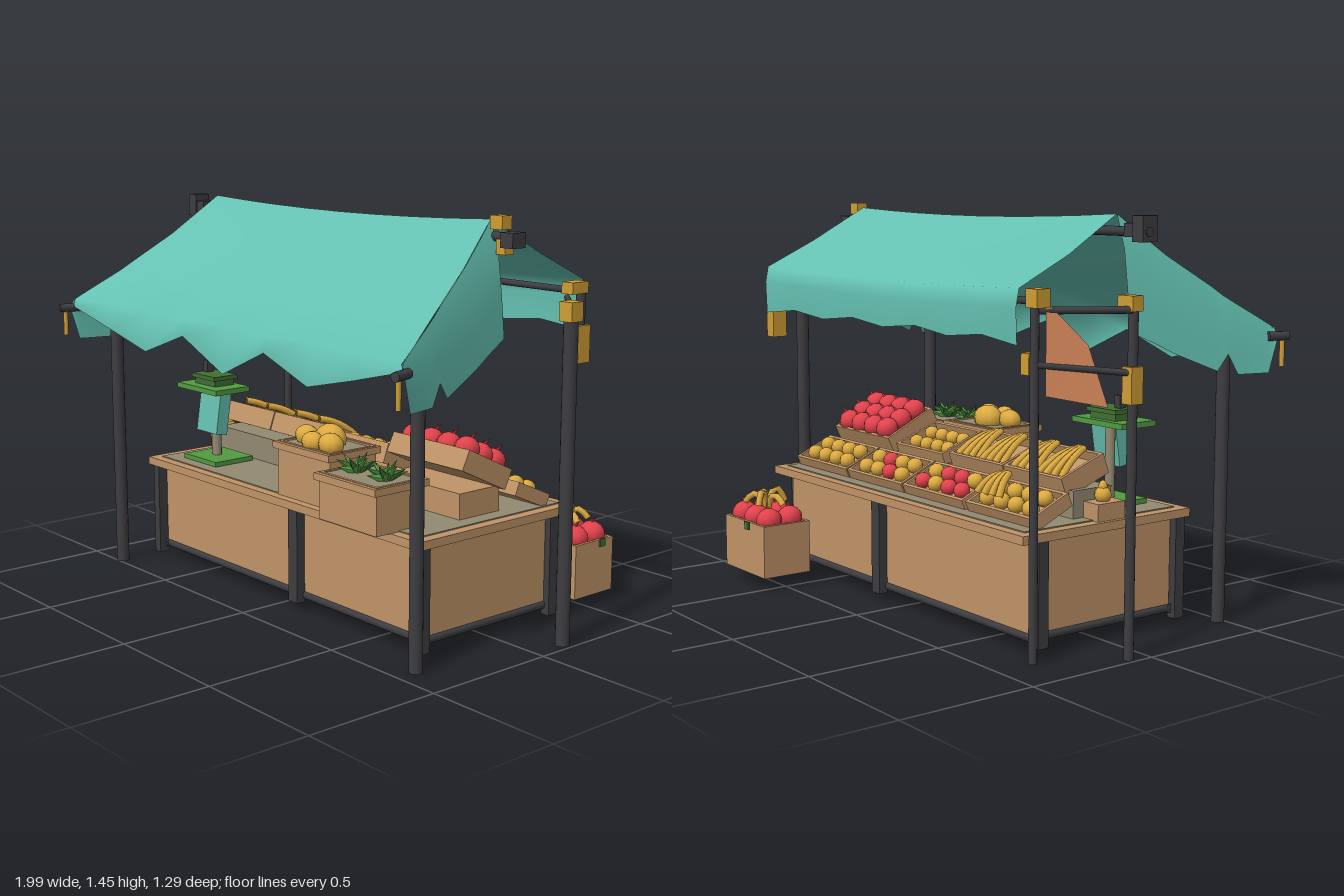
import * as THREE from 'three';

const mat = (name, color, side = THREE.FrontSide) => {
  const m = new THREE.MeshStandardMaterial({ color, side });
  m.name = name;
  return m;
};
const M = {
  cloth: mat('teal cloth', 0x64c0b1, THREE.DoubleSide),
  wood: mat('wood', 0xc09467),
  metal: mat('dark metal', 0x3e3e42),
  gold: mat('brass', 0xd09f34),
  red: mat('red fruit', 0xe2424c),
  yellow: mat('yellow fruit', 0xdcaa40),
  green: mat('green', 0x529a42),
  dark: mat('dark green', 0x3f7032),
  board: mat('grey board', 0x948a72),
  flag: mat('orange cloth', 0xdc8c5e, THREE.DoubleSide),
};

export function createModel() {
  const root = new THREE.Group();
  const add = (geo, m, name, x = 0, y = 0, z = 0, parent = root) => {
    const mesh = new THREE.Mesh(geo, m);
    mesh.name = name;
    mesh.position.set(x, y, z);
    parent.add(mesh);
    return mesh;
  };
  const box = (name, m, x, y, z, w, h, d, parent) =>
    add(new THREE.BoxGeometry(w, h, d), m, name, x, y, z, parent);
  const rod = (name, m, a, b, r) => {
    const p = new THREE.Vector3(...a), q = new THREE.Vector3(...b), dir = q.clone().sub(p);
    const mesh = add(new THREE.CylinderGeometry(r, r, dir.length(), 12), m, name);
    mesh.position.copy(p).add(q).multiplyScalar(0.5);
    mesh.quaternion.setFromUnitVectors(new THREE.Vector3(0, 1, 0), dir.normalize());
    return mesh;
  };
  // Cloth sheet through rows of points of equal length
  const sheet = (name, m, rows) => {
    const n = rows[0].length, idx = [];
    for (let r = 0; r < rows.length - 1; r++)
      for (let c = 0; c < n - 1; c++) {
        const a = r * n + c, b = a + n;
        idx.push(a, b, a + 1, b, b + 1, a + 1);
      }
    const g = new THREE.BufferGeometry();
    g.setAttribute('position', new THREE.Float32BufferAttribute(rows.flat(2), 3));
    g.setIndex(idx);
    g.computeVertexNormals();
    return add(g, m, name);
  };

  // Posts and bars of the frame
  [[-0.83, 1.1, 0.48, 0.024], [0.83, 1.12, 0.42, 0.024], [0.965, 1.15, -0.13, 0.025],
    [-0.975, 1.18, -0.08, 0.017], [-0.82, 1.2, -0.355, 0.015]].forEach(([x, h, z, r]) =>
    rod('post', M.metal, [x, 0, z], [x, h, z], r));
  rod('ridgeBar', M.metal, [-0.94, 1.38, 0.02], [0.89, 1.38, 0.04], 0.016);
  rod('backBar', M.metal, [-0.82, 1.17, -0.36], [0.82, 1.17, -0.36], 0.012);
  rod('leftArm', M.metal, [-0.98, 1.14, -0.09], [-0.82, 1.14, -0.35], 0.012);
  rod('leftLowerArm', M.metal, [-0.98, 0.94, -0.09], [-0.82, 0.97, -0.36], 0.011);
  rod('rightArm', M.metal, [0.97, 1.13, -0.14], [0.82, 1.16, -0.27], 0.01);
  rod('rightPin', M.metal, [0.82, 1.2, -0.34], [0.82, 0.95, -0.34], 0.017);
  for (const s of [-1, 1]) {
    rod('barEnd', M.metal, [s * 0.95, 1.015, 0.57], [s * 0.972, 1.015, 0.645], 0.016);
    rod('hangingPin', M.gold, [s * 0.965, 1, 0.625], [s * 0.965, 0.91, 0.625], 0.009);
  }

  // Clamps
  [[0.965, 1.14, -0.13, 0.055, 0.065, 0.055], [0.82, 1.19, -0.31, 0.05, 0.04, 0.08],
    [0.82, 0.995, -0.335, 0.05, 0.13, 0.06], [0.825, 1.43, 0.06, 0.055, 0.045, 0.045],
    [0.825, 1.35, 0.04, 0.04, 0.05, 0.04], [-0.975, 0.9, -0.08, 0.045, 0.12, 0.05],
    [-0.96, 1.16, -0.08, 0.07, 0.05, 0.045], [-0.83, 1.18, -0.35, 0.055, 0.06, 0.055],
    [-0.79, 0.97, -0.35, 0.04, 0.07, 0.04]].forEach(c => box('clamp', M.gold, ...c));
  [[-0.91, 1.39, 0.025, 0.05, 0.085, 0.065], [-0.87, 1.385, 0.025, 0.06, 0.045, 0.055],
    [0.87, 1.375, 0.05, 0.055, 0.05, 0.06], [0.91, 1.13, -0.2, 0.03, 0.04, 0.06]]
    .forEach(c => box('bracket', M.metal, ...c));

  // Front canopy slope running on into a zigzag valance
  const hem = [1.02, 0.96, 0.9, 0.985, 0.88, 0.985, 0.905, 0.96, 1.02];
  const row = (hw, y, z, sagY, sagZ) => hem.map((_, i) => {
    const t = i / 4 - 1, k = 1 - t * t;
    return [t * hw, y - sagY * k, z - sagZ * k];
  });
  const frontEdge = row(0.95, 1.05, 0.59, 0, 0.025);
  sheet('frontCanopy', M.cloth, [row(0.76, 1.435, 0.04, 0.02, 0), row(0.82, 1.29, 0.22, 0.02, 0),
    row(0.885, 1.155, 0.42, 0.015, 0.01), frontEdge,
    frontEdge.map(([x, , z], i) => [x, hem[i], z + 0.008])]);

  // Side flaps under the front slope
  const flap = [[0.04, 1.435, 1.05], [0.13, 1.36, 1.01], [0.21, 1.297, 0.97], [0.37, 1.19, 0.905],
    [0.41, 1.16, 0.96], [0.45, 1.135, 0.89], [0.57, 1.063, 0.89], [0.6, 1.045, 1.0]];
  for (const s of [-1, 1]) {
    const at = (f, v) => {
      const t = (f[0] - 0.04) / 0.56;
      const top = 0.76 + 0.19 * t, low = 0.83 + 0.135 * t;
      return [s * (top + (low - top) * Math.sqrt(v)), f[1] + (f[2] - f[1]) * v, f[0]];
    };
    sheet('sideFlap', M.cloth, [0, 0.3, 0.65, 1].map(v => flap.map(f => at(f, v))));
  }

  // Back canopy slope running on into a short valance
  const backEdge = row(0.785, 1.21, -0.39, 0.015, -0.02);
  sheet('backCanopy', M.cloth, [
    backEdge.map(([x, , z], i) => [x, 1.03 + (i % 2) * 0.02, z - 0.008]),
    backEdge.map(([x, y, z]) => [x, y - 0.06, z - 0.012]),
    backEdge, row(0.78, 1.31, -0.18, 0.03, 0), row(0.76, 1.435, 0.04, 0.02, 0)]);

  // Small side pennant
  sheet('pennant', M.flag, [
    [[-0.845, 1.17, -0.33], [-0.91, 1.03, -0.21]],
    [[-0.845, 0.87, -0.33], [-0.945, 0.83, -0.155]]]);

  // Counter, open underneath
  box('counterTop', M.wood, 0, 0.4, 0, 1.58, 0.03, 0.745);
  box('counterSurface', M.board, 0, 0.416, 0, 1.5, 0.006, 0.67);
  for (const z of [0.31, -0.305]) {
    box('longPanel', M.wood, 0, 0.225, z, 1.5, 0.33, 0.015);
    rod('longRail', M.metal, [-0.765, 0.06, z], [0.765, 0.06, z], 0.016);
  }
  for (const x of [-0.75, 0.75]) {
    box('endPanel', M.wood, x, 0.225, 0, 0.015, 0.33, 0.62);
    rod('endRail', M.metal, [x, 0.06, -0.3], [x, 0.06, 0.33], 0.016);
    for (const z of [0.335, -0.28]) box('leg', M.metal, x * 1.02, 0.205, z, 0.036, 0.36, 0.042);
  }
  for (const z of [0.335, -0.33]) box('middleLeg', M.metal, 0.105, 0.21, z, 0.05, 0.35, 0.035);

  // Open crate with a raised bottom; origin at its base
  const crate = (name, x, y, z, w, h, d, tilt = 0, fill = 0.3, lining = M.wood) => {
    const g = new THREE.Group();
    g.name = name;
    g.position.set(x, y, z);
    g.rotation.x = tilt;
    root.add(g);
    const t = 0.012;
    for (const s of [-1, 1]) {
      box('longSide', M.wood, 0, h / 2, s * (d - t) / 2, w, h, t, g);
      box('shortSide', M.wood, s * (w - t) / 2, h / 2, 0, t, h, d - 2 * t, g);
    }
    box('base', M.wood, 0, 0.005, 0, w - 2 * t, 0.01, d - 2 * t, g);
    box('filling', lining, 0, h * fill, 0, w - 2 * t, 0.008, d - 2 * t, g);
    return g;
  };
  const ball = new THREE.SphereGeometry(1, 10, 8);
  const stalk = new THREE.ConeGeometry(0.009, 0.045, 5);
  const fruit = (g, nx, nz, w, d, y, r, mats, stalks) => {
    for (let i = 0; i < nx; i++) for (let k = 0; k < nz; k++) {
      const x = ((i + 0.5) / nx - 0.5) * w, z = ((k + 0.5) / nz - 0.5) * d;
      add(ball, mats[(i + 2 * k) % mats.length], 'fruit', x, y, z, g).scale.set(r, r * 0.92, r);
      if (stalks) add(stalk, M.red, 'stalk', x + 0.01, y + r, z, g).rotation.z = -0.6;
    }
  };
  const banana = (g, a, b, c, r) => add(new THREE.TubeGeometry(new THREE.QuadraticBezierCurve3(
    new THREE.Vector3(...a), new THREE.Vector3(...b), new THREE.Vector3(...c)), 6, r, 6),
  M.yellow, 'banana', 0, 0, 0, g);
  const bunch = (g, cx, y, size = 0.16) => {
    for (let i = -1.5; i <= 1.5; i++)
      banana(g, [cx + i * 0.008, y + 0.025, size / 2], [cx + i * 0.03, y + 0.04, 0], [cx + i * 0.04, y, -size / 2], 0.013);
  };

  // Upper display tier
  box('tierSupport', M.board, -0.36, 0.465, 0.0, 0.68, 0.1, 0.17);
  box('tierSupport', M.wood, 0.34, 0.46, 0.0, 0.7, 0.1, 0.19);
  fruit(crate('appleCrate', 0.52, 0.545, 0, 0.38, 0.075, 0.23, -0.45, 0.6), 4, 3, 0.35, 0.21, 0.085, 0.045, [M.red], true);
  fruit(crate('lemonCrate', 0.15, 0.51, 0, 0.3, 0.075, 0.2, -0.35, 0.5), 4, 2, 0.27, 0.15, 0.06, 0.028, [M.yellow]);
  for (const x of [-0.2, -0.52]) {
    const g = crate('bananaCrate', x, 0.52, 0, 0.315, 0.075, 0.2, -0.35, 0.5);
    for (const s of [-0.07, 0.07]) bunch(g, s, 0.065);
  }

  // Lower display tier
  const mixes = [[M.yellow], [M.yellow, M.red, M.yellow], [M.red, M.red, M.yellow], [M.yellow]];
  [0.56, 0.19, -0.18, -0.56].forEach((x, i) => {
    const g = crate('smallCrate', x, 0.442, -0.2, 0.36, 0.05, 0.17, -0.42, 0.4);
    fruit(g, 4, 2, 0.31, 0.13, 0.048, 0.031, mixes[i]);
    if (i === 3) bunch(g, 0.08, 0.075, 0.1);
  });
  box('sideBox', M.wood, -0.735, 0.445, 0.02, 0.08, 0.06, 0.12);
  add(ball, M.yellow, 'pear', -0.73, 0.495, 0.02).scale.set(0.03, 0.03, 0.03);
  add(ball, M.yellow, 'pearNeck', -0.73, 0.52, 0.02).scale.set(0.016, 0.025, 0.016);

  // Front bins with a wide rim
  const bin = (name, x, z, h) => {
    const g = crate(name, x, 0.415, z, 0.295, h, 0.21, 0, 0.95, M.board);
    for (const s of [-1, 1]) {
      box('rim', M.wood, 0, h - 0.015, s * 0.11, 0.315, 0.025, 0.02, g);
      box('rim', M.wood, s * 0.15, h - 0.015, 0, 0.016, 0.025, 0.21, g);
    }
    return g;
  };
  const melonBin = bin('melonBin', 0.155, 0.235, 0.2);
  [[-0.085, 0.02, 0.04], [0.085, 0.05, 0.042], [0, -0.02, 0.052], [0.01, 0.07, 0.038]].forEach(([x, z, r]) =>
    add(ball, M.yellow, 'melon', x, 0.215, z, melonBin).scale.set(r * 1.25, r, r));
  const herbBin = bin('herbBin', 0.505, 0.33, 0.165);
  // Herb plants with spread, pointed leaves
  const blade = new THREE.ConeGeometry(0.02, 0.08, 4).translate(0, 0.04, 0);
  for (const cx of [-0.075, 0.075]) for (let i = 0; i < 11; i++) {
    const leaf = add(blade, i % 2 ? M.dark : M.green, 'herbLeaf', cx, 0.165, 0, herbBin);
    leaf.rotation.set(0, i * 0.57, -0.8 - 0.25 * (i % 3), 'YXZ');
  }

  // Weighing scale
  box('scaleBase', M.green, -0.555, 0.43, 0.2, 0.21, 0.018, 0.18);
  rod('scaleColumn', M.board, [-0.565, 0.43, 0.2], [-0.565, 0.71, 0.2], 0.018);
  box('scaleBody', M.cloth, -0.51, 0.63, 0.25, 0.13, 0.17, 0.05).rotation.x = -0.15;
  box('scalePlate', M.green, -0.57, 0.71, 0.21, 0.26, 0.02, 0.16);
  box('scaleTray', M.dark, -0.575, 0.752, 0.2, 0.15, 0.016, 0.11);
  box('scaleStem', M.dark, -0.575, 0.732, 0.2, 0.13, 0.024, 0.09);
  box('scaleWeight', M.metal, -0.62, 0.785, 0.195, 0.028, 0.045, 0.03);

  // Apple box on the ground behind the counter
  const ground = crate('groundCrate', 0.625, 0.05, -0.505, 0.3, 0.2, 0.2, 0, 0.8);
  fruit(ground, 3, 2, 0.28, 0.18, 0.21, 0.05, [M.red], true);
  for (let i = 0; i < 5; i++) {
    const c = Math.cos(i * 1.26 + 0.4), s = Math.sin(i * 1.26 + 0.4);
    banana(ground, [0, 0.22, 0], [c * 0.03, 0.34 + (i % 2) * 0.04, s * 0.03], [c * 0.1, 0.26, s * 0.075], 0.013);
  }
  box('tag', M.dark, 0.79, 0.245, -0.53, 0.006, 0.03, 0.028);
  box('tag', M.dark, 0.54, 0.25, -0.64, 0.03, 0.03, 0.008);
  return root;
}
